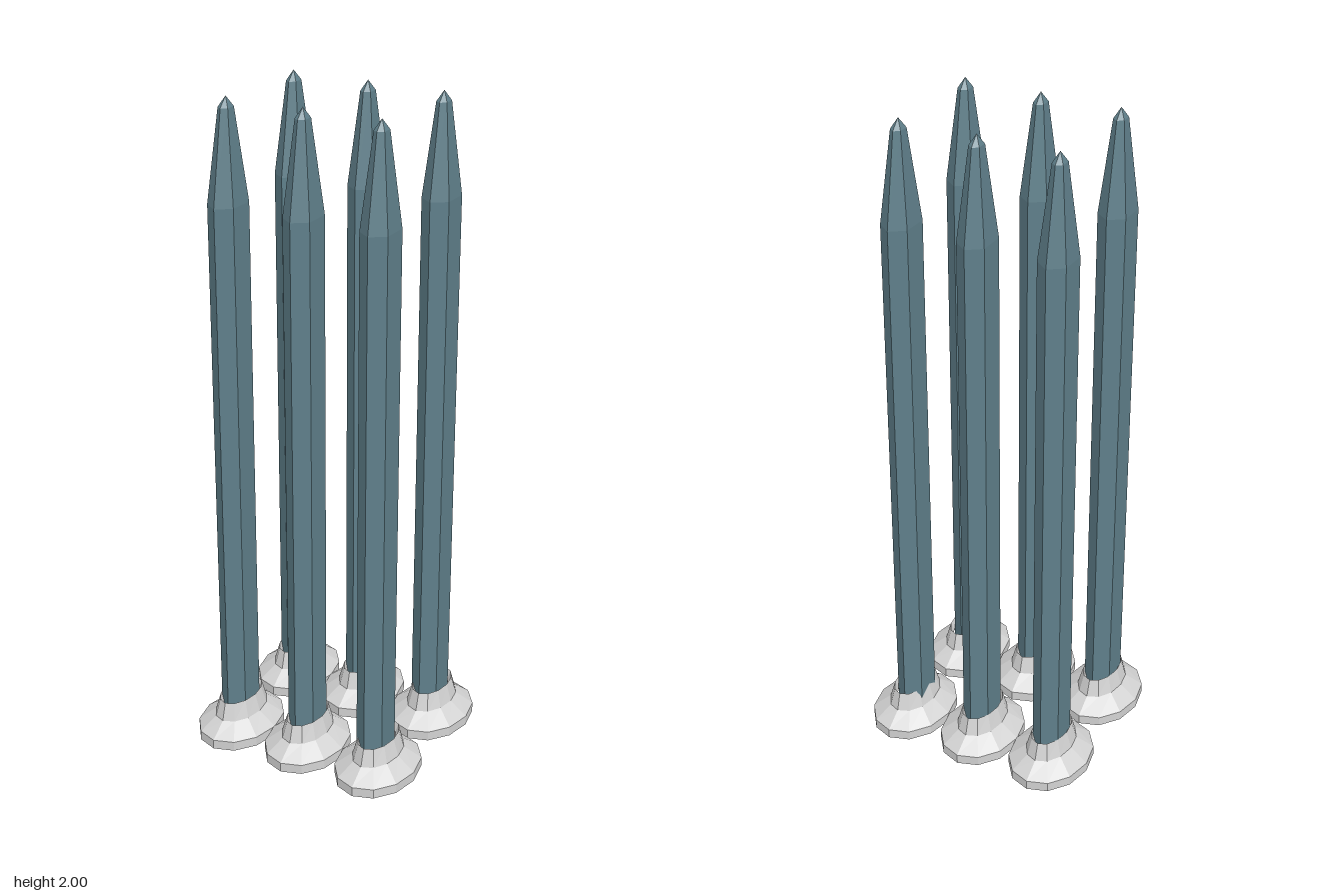
import * as THREE from 'three';

// Skin a stack of rings; each ring is a list of [x, y, z] running counter-clockwise seen from above
function loft(rings) {
  const pos = [];
  for (let r = 0; r < rings.length - 1; r++) {
    const lo = rings[r], hi = rings[r + 1], n = lo.length;
    for (let i = 0; i < n; i++) {
      const j = (i + 1) % n;
      pos.push(...lo[i], ...lo[j], ...hi[j], ...lo[i], ...hi[j], ...hi[i]);
    }
  }
  const geo = new THREE.BufferGeometry();
  geo.setAttribute('position', new THREE.Float32BufferAttribute(pos, 3));
  geo.computeVertexNormals();
  return geo;
}

// Twelve-sided oval, longer in z by a constant amount
function ovalRing(r, y) {
  return Array.from({ length: 12 }, (_, i) => {
    const a = (i / 12) * Math.PI * 2;
    return [Math.sin(a) * r, y, Math.cos(a) * (r + 0.038)];
  });
}

// Stretched hexagon with points at front and back
function hexRing(s, y) {
  const x = 0.043 * s, z = 0.072 * s, m = 0.04 * s;
  return [[0, y, z], [x, y, m], [x, y, -m], [0, y, -z], [-x, y, -m], [-x, y, m]];
}

export function createModel() {
  const model = new THREE.Group();
  const steel = new THREE.MeshStandardMaterial({ color: 0x5f7f8a, flatShading: true });
  steel.name = 'blue grey steel';
  const pale = new THREE.MeshStandardMaterial({ color: 0xd2d2d2, flatShading: true });
  pale.name = 'pale grey';

  // Hollow flared collar: up the outside, over the rim, down the inside and across the lip
  const collarGeo = loft([
    [0.122, 0], [0.122, 0.03], [0.068, 0.07], [0.052, 0.125],
    [0.042, 0.1], [0.06, 0.06], [0.112, 0.025], [0.115, 0], [0.122, 0],
  ].map(([r, y]) => ovalRing(r, y)));

  // Hexagonal spike with a tapered, blunt tip and closed ends
  const spikeGeo = loft([
    [0, 0.035], [1, 0.035], [1, 1.7], [0.38, 1.97], [0, 2],
  ].map(([s, y]) => hexRing(s, y)));

  // Two rows of three
  const collarX = [-0.245, -0.003, 0.244], spikeX = [-0.247, -0.004, 0.234];
  const rows = [
    { label: 'front', collarZ: 0.173, spikeZ: 0.172 },
    { label: 'back', collarZ: -0.175, spikeZ: -0.18 },
  ];
  const columns = ['Right', 'Middle', 'Left'];
  for (const row of rows) {
    columns.forEach((column, i) => {
      const post = new THREE.Group();
      post.name = row.label + column + 'Post';
      const collar = new THREE.Mesh(collarGeo, pale);
      collar.name = 'collar';
      collar.position.set(collarX[i], 0, row.collarZ);
      const spike = new THREE.Mesh(spikeGeo, steel);
      spike.name = 'spike';
      spike.position.set(spikeX[i], 0, row.spikeZ);
      post.add(collar, spike);
      model.add(post);
    });
  }
  return model;
}
